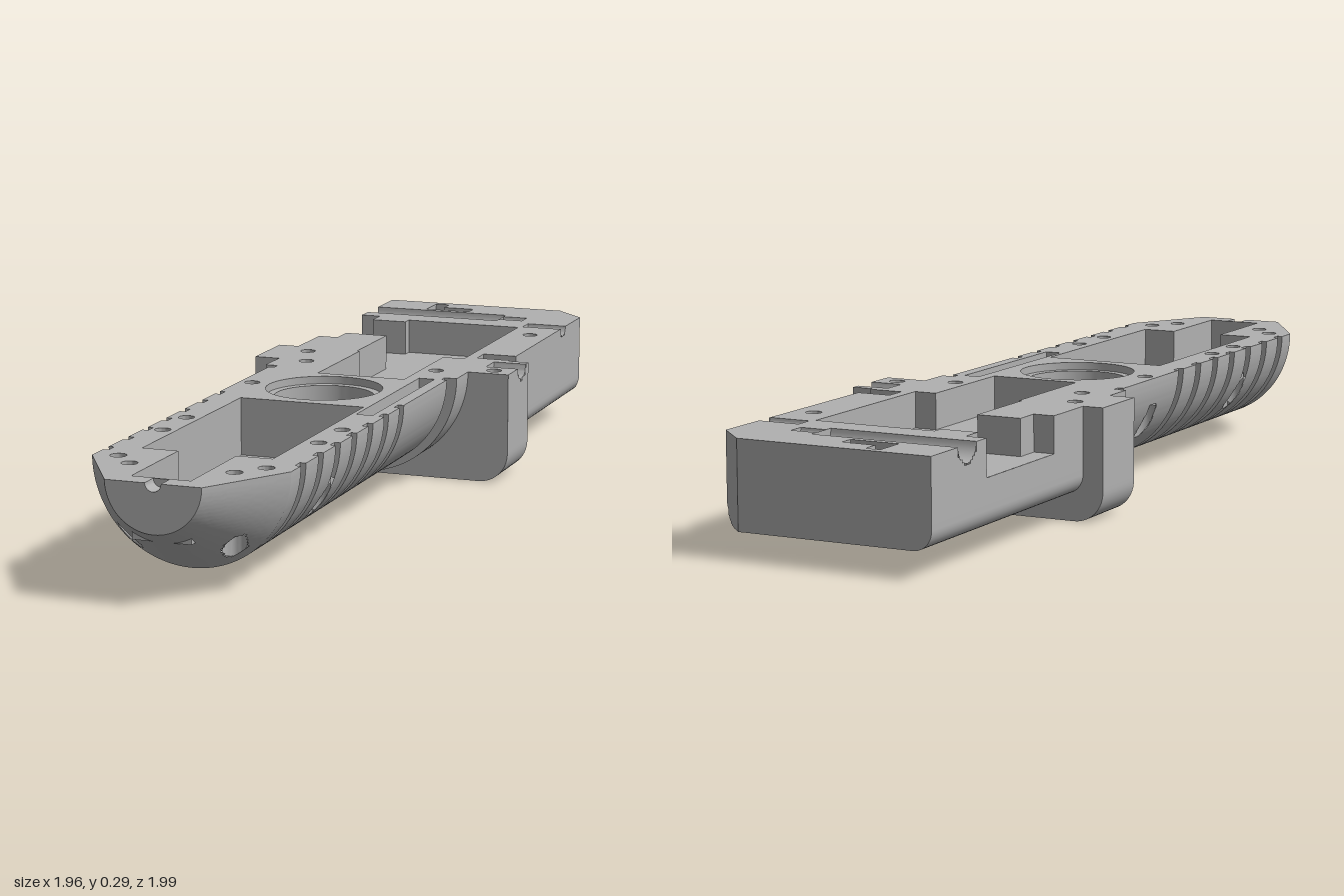
import * as THREE from 'three';
import { toCreasedNormals } from 'three/addons/utils/BufferGeometryUtils.js';

// Local frame: u runs along the tool (+x), v across it (+z); the split face is at y = H.
const H = 0.295, AXIS = 0.007, SHELF = 0.22, TRAY = 0.2;

export function createModel() {
  const model = new THREE.Group();
  model.name = 'handleHalf';
  model.rotation.y = Math.PI / 4;
  const grey = new THREE.MeshStandardMaterial({ color: 0xb0b0b0, side: THREE.DoubleSide });
  grey.name = 'plain grey';

  const add = (geometry, name) => {
    const mesh = new THREE.Mesh(geometry, grey);
    mesh.name = name;
    model.add(mesh);
  };

  // Surface through a row of equally long sections of [u, v, y]; cut() leaves cells out
  const skin = (sections, name, cut = () => false) => {
    const pos = [];
    for (let i = 0; i + 1 < sections.length; i++) {
      const A = sections[i], B = sections[i + 1];
      for (let j = 0; j + 1 < A.length; j++) {
        const quad = [A[j], B[j], B[j + 1], A[j + 1]];
        const mid = [0, 1, 2].map(k => quad.reduce((s, p) => s + p[k], 0) / 4);
        if (cut(...mid)) continue;
        for (const k of [0, 2, 1, 0, 3, 2]) pos.push(quad[k][0], quad[k][2], quad[k][1]);
      }
    }
    const g = new THREE.BufferGeometry();
    g.setAttribute('position', new THREE.Float32BufferAttribute(pos, 3));
    add(toCreasedNormals(g, 0.5), name);
  };

  // Flat horizontal face at height y from [u, v] outlines
  const flat = (outline, holes, y, name) => {
    const vec = pts => pts.map(([u, v]) => new THREE.Vector2(u, -v));
    const shape = new THREE.Shape(vec(outline));
    for (const h of holes) shape.holes.push(new THREE.Path(vec(h)));
    add(new THREE.ShapeGeometry(shape).rotateX(-Math.PI / 2).translate(0, y, 0), name);
  };
  const wall = (path, top, bottom, name) => {
    const low = typeof bottom === 'function' ? bottom : () => bottom;
    skin([path.map(([u, v]) => [u, v, top]), path.map(([u, v]) => [u, v, low(u, v)])], name);
  };
  const close = path => [...path, path[0]];
  const circle = (u, v, r, n = 28) => Array.from({ length: n }, (_, i) => {
    const a = i / n * Math.PI * 2;
    return [u + r * Math.cos(a), v + r * Math.sin(a)];
  });
  const rect = (u0, u1, v0, v1) => [[u0, v0], [u1, v0], [u1, v1], [u0, v1]];
  const range = (stops, step) => {
    const out = [stops[0]];
    for (let i = 1; i < stops.length; i++) {
      const a = stops[i - 1], b = stops[i], n = Math.max(1, Math.ceil((b - a) / step));
      for (let k = 1; k <= n; k++) out.push(a + (b - a) * k / n);
    }
    return out;
  };

  // Cross-sections
  const halfRound = (u, r, n = 96) => Array.from({ length: n + 1 }, (_, i) => {
    const a = i / n * Math.PI;
    return [u, AXIS - r * Math.cos(a), H - r * Math.sin(a)];
  });
  const rounded = (v0, v1, yb, r, n) => {
    const p = new THREE.Path().moveTo(v0, H).lineTo(v0, yb + r);
    p.absarc(v0 + r, yb + r, r, Math.PI, 1.5 * Math.PI, false).lineTo(v1 - r, yb);
    p.absarc(v1 - r, yb + r, r, 1.5 * Math.PI, 2 * Math.PI, false).lineTo(v1, H);
    return u => p.getSpacedPoints(n).map(q => [u, q.x, q.y]);
  };

  // Screw holes: through holes are counterbored from below
  const through = [[0.304, -0.226], [-0.145, -0.209], [-0.75, -0.198], [-1.103, -0.127],
    [-1.107, 0.138], [-0.753, 0.209], [0.223, 0.336]];
  const blind = [[0.173, -0.18], [-0.6, -0.2], [-1.04, -0.184], [-1.04, 0.19],
    [-0.6, 0.212], [0.17, 0.191], [0.742, 0.276]];
  const bored = (u, v, y) => y < SHELF && through.some(([a, b]) => Math.hypot(u - a, v - b) < 0.03);

  // Grip: tapered nose, ringed barrel, stepped collar
  const profile = [[-1.273, 0.12], [-1.057, 0.251]];
  for (let i = 0; i < 7; i++) {
    const u = -0.98 + 0.114 * i;
    profile.push([u - 0.016, 0.251], [u - 0.016, 0.236], [u + 0.016, 0.236], [u + 0.016, 0.251]);
  }
  profile.push([0.06, 0.251], [0.06, 0.236], [0.085, 0.236], [0.085, 0.27], [0.18, 0.27]);
  const grip = [];
  profile.forEach(([u, r], i) => {
    if (!i) return grip.push(halfRound(u, r));
    const [a, s] = profile[i - 1], n = Math.max(1, Math.ceil((u - a) / 0.008));
    for (let k = 1; k <= n; k++) grip.push(halfRound(a + (u - a) * k / n, s + (r - s) * k / n));
  });
  skin(grip, 'grip', bored);
  skin([halfRound(-1.273, 0.12), halfRound(-1.273, 0.02)], 'noseTip');

  // Guard block
  const GN = 128;
  const guard = rounded(-0.332, 0.389, 0, 0.08, GN);
  skin(range([0.18, 0.36], 0.008).map(guard), 'guard', (u, v, y) => bored(u, v, y)
    || (v > 0.38 && Math.hypot(u - 0.3, y - H) < 0.035));
  skin([guard(0.18), halfRound(0.18, 0.25, GN)], 'guardFront');

  // Rear housing with one chamfered corner
  const housing = rounded(-0.276, 0.332, 0.07, 0.05, GN);
  const body = u => housing(u).map(([a, v, y]) => [a, Math.min(v, 0.332 - Math.max(0, u - 1.053)), y]);
  skin([guard(0.36), housing(0.36)], 'guardBack');
  skin(range([0.36, 0.37, 0.43, 0.52, 0.87, 0.92, 1.01, 1.053, 1.138], 0.01).map(body), 'housing',
    (u, v, y) => (v < -0.27 && y > TRAY && u > 0.52 && u < 0.87)
      || (v < -0.27 && Math.hypot(u - 0.965, y - H) < 0.045)
      || (v > 0.32 && Math.hypot(u - 0.88, y - H) < 0.025)
      || (v > 0.32 && y > H - 0.06 && u > 0.37 && u < 0.43));
  skin([body(1.138), body(1.138).map(([u, v]) => [u, v, H])], 'housingEnd');

  // Open recesses along the rim of the split face
  const tray = [[0.52, -0.276], [0.52, -0.22], [0.59, -0.22], [0.59, -0.1], [0.35, -0.1],
    [0.35, -0.092], [0.03, -0.092], [0.03, 0.15], [0.35, 0.15], [0.35, 0.21], [0.84, 0.21],
    [0.84, -0.12], [0.81, -0.12], [0.81, -0.22], [0.87, -0.22], [0.87, -0.276]];
  const rollerSeat = [[0.92, -0.276], [0.92, 0.12], [0.9425, 0.12], [0.9425, 0.19],
    [0.9875, 0.19], [0.9875, 0.12], [1.01, 0.12], [1.01, -0.276]];
  const sideSlot = [[0.43, 0.332], [0.43, 0.24], [0.37, 0.24], [0.37, 0.332]];
  const outline = [
    [-1.273, -0.013], ...profile.map(([u, r]) => [u, AXIS - r]),
    [0.18, -0.332], [0.36, -0.332], [0.36, -0.276], ...tray, ...rollerSeat,
    [1.138, -0.276], [1.138, 0.247], [1.053, 0.332],
    [0.905, 0.332], [0.905, 0.22], [0.855, 0.22], [0.855, 0.332],
    ...sideSlot, [0.36, 0.332], [0.36, 0.389],
    [0.335, 0.389], [0.335, 0.3], [0.265, 0.3], [0.265, 0.389], [0.18, 0.389],
    ...profile.map(([u, r]) => [u, AXIS + r]).reverse(),
    [-1.273, 0.027], [-1.225, 0.027], [-1.225, -0.013],
  ];
  wall(tray, H, TRAY, 'trayWall');
  flat(tray, [], TRAY, 'trayFloor');
  wall(sideSlot, H, H - 0.06, 'sideSlotWall');
  flat(sideSlot, [], H - 0.06, 'sideSlotFloor');

  // Closed pockets sunk into the split face
  const holes = [];
  const pocket = (path, depth, name) => {
    holes.push(path);
    wall(close(path), H, H - depth, name + 'Wall');
    flat(path, [], H - depth, name + 'Floor');
  };
  pocket([[-0.335, -0.163], [-0.335, 0.17], [-0.95, 0.17], [-0.95, 0.078], [-1.22, 0.078],
    [-1.22, -0.07], [-0.95, -0.07], [-0.95, -0.163]], 0.15, 'bay');
  pocket(rect(-0.42, 0.057, 0.182, 0.225).filter(([u]) => u < 1), 0.03, 'wireChannel');
  pocket([[1.03, -0.13], [1.115, -0.13], [1.115, -0.09], [1.07, -0.09], [1.07, 0], [1.03, 0]], 0.04, 'latchSlot');
  for (const [u, v] of blind) pocket(circle(u, v, 0.02), 0.06, 'pinHole');

  // Round stepped well
  const rim = circle(-0.148, AXIS - 0.014, 0.152, 64), well = circle(-0.148, AXIS - 0.014, 0.13, 64);
  holes.push(rim);
  wall(close(rim), H, H - 0.02, 'wellRim');
  flat(rim, [well], H - 0.02, 'wellLedge');
  wall(close(well), H - 0.02, H - 0.2, 'wellWall');
  flat(well, [], H - 0.2, 'wellFloor');

  // Through holes follow the outer surface at their lower end
  const radiusAt = u => u < -1.057 ? 0.12 + (u + 1.273) * 0.6065 : 0.251;
  const gripBottom = (u, v) => H - Math.sqrt(Math.max(0, radiusAt(u) ** 2 - (v - AXIS) ** 2));
  const guardBottom = (u, v) => {
    const d = Math.max(0, v - 0.309, -0.252 - v);
    return 0.08 - Math.sqrt(Math.max(0, 0.0064 - d * d));
  };
  for (const [u, v] of through) {
    const small = circle(u, v, 0.02), large = circle(u, v, 0.03);
    const bottom = u > 0.18 ? guardBottom : gripBottom;
    holes.push(small);
    wall(close(small), H, SHELF, 'screwHole');
    flat(large, [small], SHELF, 'screwShelf');
    wall(close(large), SHELF, (a, b) => Math.min(SHELF, bottom(a, b)), 'counterbore');
  }
  flat(outline, holes, H, 'splitFace');

  // Half-round seats, running across the tool and closed at both inner ends
  const seat = (u, r, v0, v1, name, inner) => {
    const arc = (v, s) => Array.from({ length: 17 }, (_, i) => {
      const a = i / 16 * Math.PI;
      return [u - s * Math.cos(a), v, H - s * Math.sin(a)];
    });
    skin([arc(v0, r), arc(v1, r)], name);
    skin([arc(inner, r), arc(inner, 0)], name + 'End');
  };
  seat(0.965, 0.045, -0.276, 0.12, 'rollerSeat', 0.12);
  seat(0.965, 0.0225, 0.12, 0.19, 'axleSeat', 0.19);
  seat(0.88, 0.025, 0.22, 0.332, 'sidePinSeat', 0.22);
  seat(0.3, 0.035, 0.3, 0.389, 'guardPinSeat', 0.3);

  // Tiny groove through the nose
  skin([-1.273, -1.225].map(u => halfRound(u, 0.02, 16)), 'noseGroove');
  skin([halfRound(-1.225, 0.02, 16), halfRound(-1.225, 0, 16)], 'noseGrooveEnd');

  return model;
}
